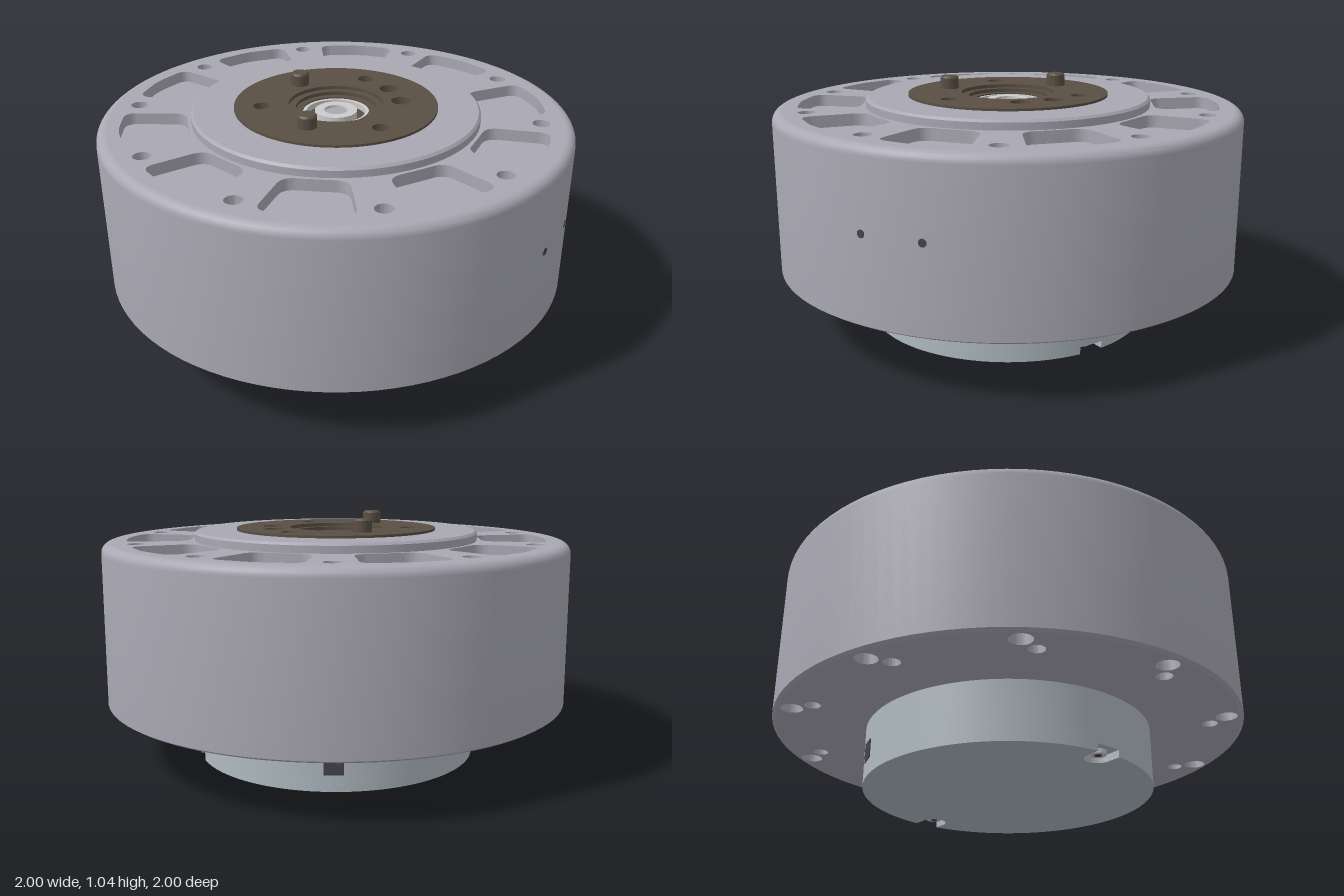
import * as THREE from 'three';
import { toCreasedNormals } from 'three/addons/utils/BufferGeometryUtils.js';

const paint = (color) => new THREE.MeshStandardMaterial({ color });
const METAL = paint(0xa9a8b3), BROWN = paint(0x594f44), STEEL = paint(0xafbac0);
const LIGHT = paint(0xc4c4c4), DARK = paint(0x45454a);
const DEG = Math.PI / 180;

// Point at radius r and angle a in the plan (angles run from +x towards -z)
const polar = (r, a) => new THREE.Vector2(r * Math.cos(a), r * Math.sin(a));

function circle(x, y, r) {
  return new THREE.Path().absarc(x, y, r, 0, Math.PI * 2, false);
}

// Ten round holes on a pitch circle
function holeRing(pitch, r, startDeg) {
  return Array.from({ length: 10 }, (_, i) => {
    const p = polar(pitch, (startDeg + 36 * i) * DEG);
    return circle(p.x, p.y, r);
  });
}

// Rounded sector-shaped pocket centred on angle a
function pocket(a) {
  const pts = [[0.635, -0.2], [0.9, -0.205], [0.91, 0], [0.9, 0.205], [0.635, 0.2], [0.625, 0]]
    .map(([r, d]) => polar(r, a + d));
  const path = new THREE.Path();
  pts.forEach((p, i) => {
    const prev = pts[(i + 5) % 6], next = pts[(i + 1) % 6];
    const toward = (q) => p.clone().add(q.clone().sub(p).setLength(0.055));
    const s = toward(prev), e = toward(next);
    if (i === 0) path.moveTo(s.x, s.y); else path.lineTo(s.x, s.y);
    path.quadraticCurveTo(p.x, p.y, e.x, e.y);
  });
  path.closePath();
  return path;
}

export function createModel() {
  const model = new THREE.Group();
  model.name = 'motor';

  function add(name, geometry, material, x = 0, y = 0, z = 0) {
    const mesh = new THREE.Mesh(geometry, material);
    mesh.name = name;
    mesh.position.set(x, y, z);
    model.add(mesh);
    return mesh;
  }
  // Flat shape extruded upward from y0 to y1
  function slab(name, shape, y0, y1, material) {
    const g = new THREE.ExtrudeGeometry(shape, { depth: y1 - y0, bevelEnabled: false, curveSegments: 48 });
    g.rotateX(-Math.PI / 2);
    return add(name, toCreasedNormals(g, 0.5), material, 0, y0, 0);
  }
  function plate(name, outer, holes, y0, y1, material) {
    const shape = new THREE.Shape().absarc(0, 0, outer, 0, Math.PI * 2, false);
    shape.holes.push(...holes);
    return slab(name, shape, y0, y1, material);
  }
  function lathe(name, profile, material) {
    const g = new THREE.LatheGeometry(profile.map(([x, y]) => new THREE.Vector2(x, y)), 96);
    return add(name, toCreasedNormals(g, 0.5), material);
  }
  function disc(name, r, y0, y1, material, x = 0, z = 0) {
    return add(name, new THREE.CylinderGeometry(r, r, y1 - y0, 48), material, x, (y0 + y1) / 2, z);
  }

  // Housing wall with rounded shoulder
  const wall = [[0.985, 0.25], [1, 0.26], [1, 0.9]];
  for (let i = 1; i <= 6; i++) {
    const t = (i / 6) * Math.PI / 2;
    wall.push([0.96 + 0.04 * Math.cos(t), 0.9 + 0.04 * Math.sin(t)]);
  }
  lathe('housingWall', wall, METAL);

  // Housing top: pockets and screw holes over a drilled floor
  const pockets = Array.from({ length: 10 }, (_, i) => pocket(i * 36 * DEG));
  plate('housingTop', 0.96, [circle(0, 0, 0.6), ...pockets, ...holeRing(0.86, 0.036, 18)], 0.89, 0.94, METAL);
  plate('pocketFloor', 0.96, [circle(0, 0, 0.6), ...holeRing(0.86, 0.036, 18)], 0.82, 0.89, METAL);
  disc('innerCore', 0.96, 0.31, 0.82, METAL);

  // Housing underside with paired screw holes
  plate('housingBottom', 0.985, [...holeRing(0.93, 0.045, 18), ...holeRing(0.86, 0.033, 22)], 0.25, 0.31, METAL);

  // Small side vents on the +x wall
  for (const z of [0.2, -0.05]) {
    const vent = add('sideVent', new THREE.CylinderGeometry(0.016, 0.016, 0.01, 20), DARK,
      Math.sqrt(1 - z * z) - 0.003, 0.615, z);
    vent.rotation.set(0, Math.asin(-z), -Math.PI / 2, 'YXZ');
  }

  // Raised rotor ring
  lathe('rotorRing', [[0.61, 0.93], [0.61, 0.97], [0.6, 0.98], [0.42, 0.98]], METAL);

  // Output flange with screw holes and two through holes
  const blind = [[0, -0.32], [-0.27, 0.16], [0.27, 0.16]];
  const through = [[0.24, -0.14], [0.14, -0.25]];
  plate('outputFlange', 0.43,
    [circle(0, 0, 0.2), ...blind.map(([x, z]) => circle(x, -z, 0.035)),
      ...through.map(([x, z]) => circle(x, -z, 0.042))], 0.93, 0.99, BROWN);
  disc('flangeCore', 0.43, 0.82, 0.93, BROWN);
  for (const [x, z] of through) disc('throughHoleFloor', 0.044, 0.92, 0.932, STEEL, x, z);

  // Locating pins
  for (const [x, z] of [[-0.24, -0.14], [0, 0.275]]) {
    const pin = lathe('locatingPin', [[0.04, 0.95], [0.04, 1.037], [0.033, 1.045], [0, 1.045]], BROWN);
    pin.position.set(x, 0, z);
  }

  // Central bearing rings
  lathe('bearingSeat', [[0.2, 0.975], [0.17, 0.975], [0.17, 0.96], [0.14, 0.96], [0.14, 0.93]], BROWN);
  lathe('bearingOuterRing', [[0.14, 0.93], [0.14, 0.955], [0.125, 0.955], [0.125, 0.93]], LIGHT);
  lathe('bearingInnerRing', [[0.09, 0.93], [0.09, 0.96], [0.05, 0.96], [0.05, 0.93]], LIGHT);
  disc('shaftEnd', 0.05, 0.93, 0.95, METAL);

  // Rear cover: wall, then a base layer with two U-shaped notches
  lathe('rearCoverWall', [[0, 0.03], [0.61, 0.03], [0.61, 0.25]], STEEL);
  const base = new THREE.Shape();
  const angles = [54 * DEG, 234 * DEG], half = 0.055, delta = half / 0.61;
  angles.forEach((a, i) => {
    const end = (i === 0 ? angles[1] : angles[0] + Math.PI * 2) - delta;
    base.absarc(0, 0, 0.61, a + delta, end, false);
    const c = polar(0.55, end + delta);
    base.absarc(c.x, c.y, half, end + delta - Math.PI / 2, end + delta + Math.PI / 2, true);
  });
  slab('rearCoverBase', base, 0, 0.03, STEEL);
  for (const a of angles) {
    const c = polar(0.55, a);
    disc('notchScrew', 0.032, 0.012, 0.035, LIGHT, c.x, -c.y);
    disc('notchScrewSocket', 0.015, 0.01, 0.03, DARK, c.x, -c.y);
  }

  // Cable slot on the rear cover
  const p = polar(0.603, 126 * DEG);
  const slot = add('cableSlot', new THREE.BoxGeometry(0.02, 0.08, 0.08), DARK, p.x, 0.11, -p.y);
  slot.rotation.y = 126 * DEG;

  return model;
}
